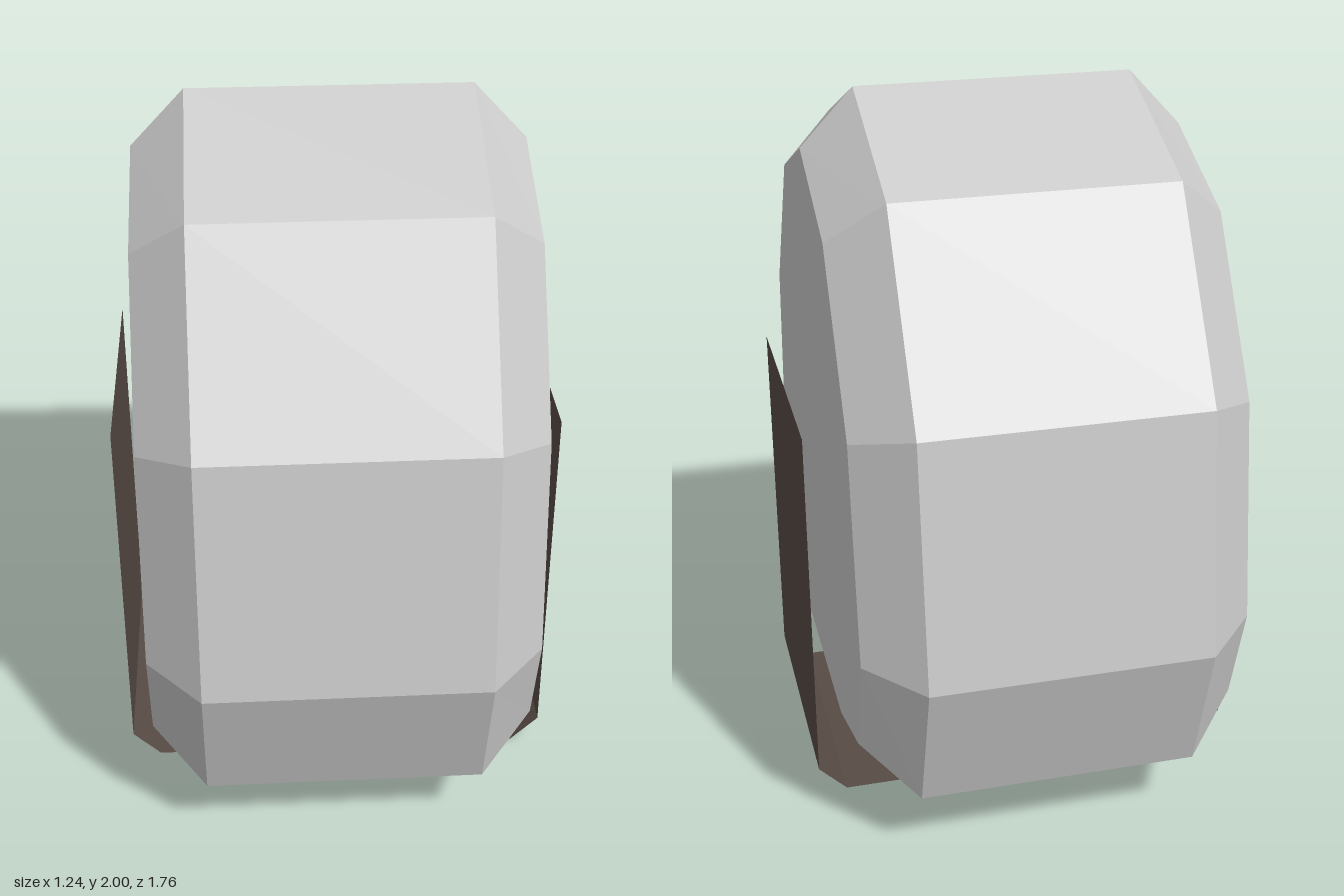
import * as THREE from 'three';

// Half outlines (z, y) from crown to base: wide middle band and smaller side faces
const OUTER = [[0, 2], [0.46, 1.815], [0.785, 1.305], [0.88, 0.625], [0.755, 0.215], [0.37, 0.08]];
const INNER = [[0, 1.84], [0.36, 1.69], [0.64, 1.25], [0.725, 0.64], [0.63, 0.335], [0.32, 0.23]];

// Full closed ring at a given x, mirrored front to back
function ring(half, x) {
  const front = half.map(([z, y]) => new THREE.Vector3(x, y, z));
  const back = half.slice(1).reverse().map(([z, y]) => new THREE.Vector3(x, y, -z));
  return [...front, ...back];
}

// Skin between consecutive cross-sections, with optional end caps
function loft(sections, closed, capped) {
  const pos = [];
  const tri = (...points) => points.forEach((p) => pos.push(p.x, p.y, p.z));
  const n = sections[0].length;
  for (let s = 0; s < sections.length - 1; s++) {
    const a = sections[s], b = sections[s + 1];
    for (let i = 0; i < (closed ? n : n - 1); i++) {
      const j = (i + 1) % n;
      tri(a[i], a[j], b[j]);
      tri(a[i], b[j], b[i]);
    }
  }
  if (capped) {
    const first = sections[0], last = sections[sections.length - 1];
    for (let i = 1; i < n - 1; i++) {
      tri(first[0], first[i + 1], first[i]);
      tri(last[0], last[i], last[i + 1]);
    }
  }
  const geometry = new THREE.BufferGeometry();
  geometry.setAttribute('position', new THREE.Float32BufferAttribute(pos, 3));
  geometry.computeVertexNormals();
  return geometry;
}

export function createModel() {
  const group = new THREE.Group();

  // Faceted egg-shaped body with chamfered sides
  const sections = [ring(INNER, 0.54), ring(OUTER, 0.39), ring(OUTER, -0.39), ring(INNER, -0.54)];
  sections.reverse();
  const body = new THREE.Mesh(
    loft(sections, true, true),
    new THREE.MeshStandardMaterial({ color: 0xcccccc, flatShading: true })
  );
  body.name = 'body';
  group.add(body);

  // Thin strap running down one side, under the base and up the other
  const path = [[-0.62, 1.15], [-0.62, 0.08], [-0.54, 0], [0.54, 0], [0.62, 0.08], [0.62, 1.15]];
  const edge = (z) => path.map(([x, y]) => new THREE.Vector3(x, y, z));
  const strap = new THREE.Mesh(
    loft([edge(-0.375), edge(0.375)], false, false),
    new THREE.MeshStandardMaterial({ color: 0x584b45, flatShading: true, side: THREE.DoubleSide })
  );
  strap.name = 'strap';
  group.add(strap);

  return group;
}
